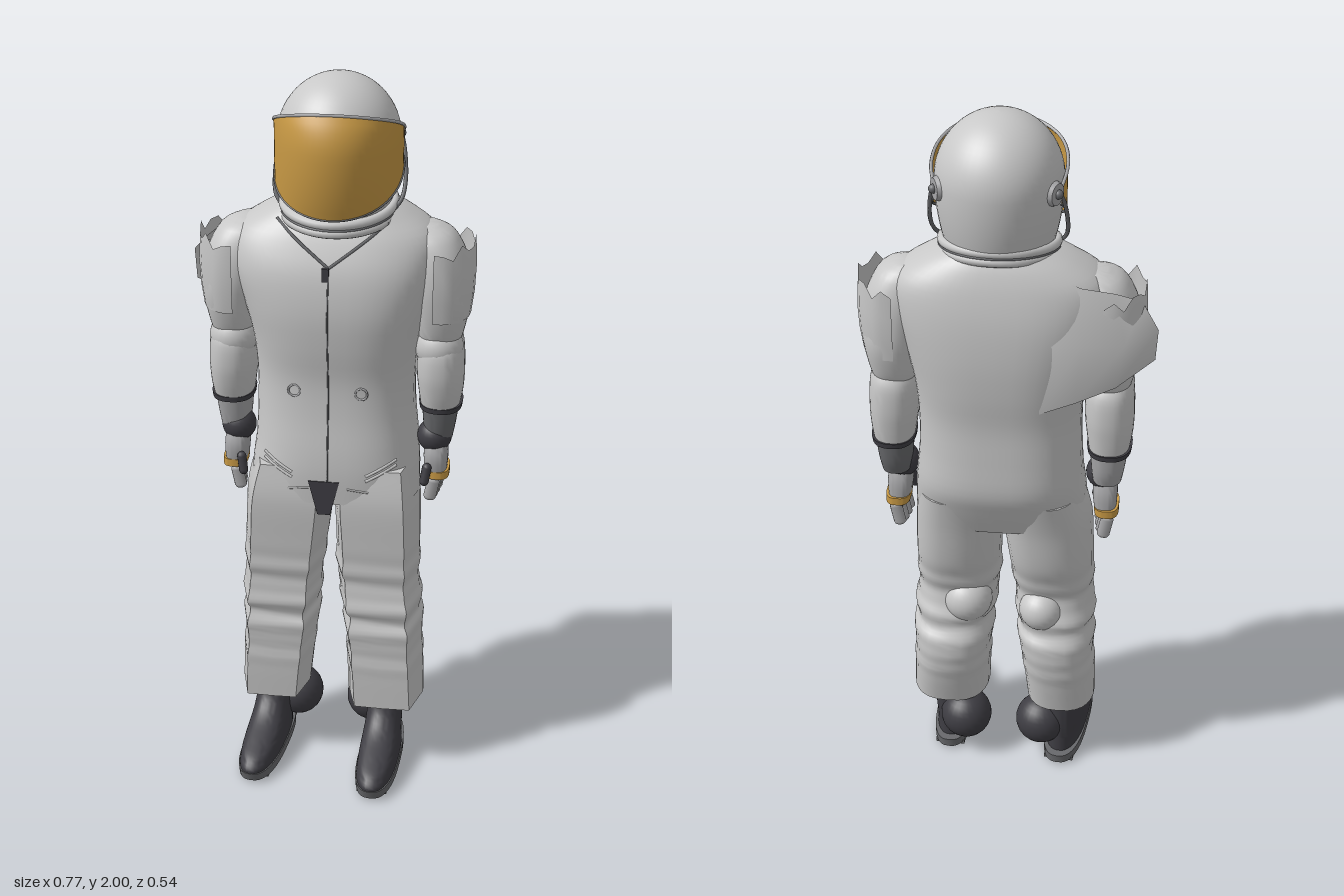
import * as THREE from 'three';
import { toCreasedNormals } from 'three/addons/utils/BufferGeometryUtils.js';

const mat = (name, color, side = THREE.FrontSide) => {
  const m = new THREE.MeshStandardMaterial({ color, side });
  m.name = name;
  return m;
};

// Superellipse outline in x/z, from -1 to 1
const outline = (power, count = 40) => Array.from({ length: count }, (_, i) => {
  const a = (i / count) * Math.PI * 2, c = Math.cos(a), s = Math.sin(a);
  return [Math.sign(c) * Math.abs(c) ** (2 / power), Math.sign(s) * Math.abs(s) ** (2 / power)];
});

// Smooth value through section rows at position t
function sample(rows, t) {
  const i = Math.min(Math.floor(t), rows.length - 2), f = t - i;
  const at = (k) => rows[Math.max(0, Math.min(rows.length - 1, k))];
  return rows[0].map((_, c) => {
    const p = at(i - 1)[c], q = at(i)[c], r = at(i + 1)[c], s = at(i + 2)[c];
    return q + 0.5 * f * (r - p + f * (2 * p - 5 * q + 4 * r - s + f * (3 * (q - r) + s - p)));
  });
}

// Indexed surface from a grid of points, row by row
function sheet(points, columns) {
  const g = new THREE.BufferGeometry().setFromPoints(points), idx = [];
  for (let a = 0; a + columns < points.length; a++) {
    if ((a + 1) % columns) idx.push(a, a + 1, a + columns, a + 1, a + columns + 1, a + columns);
  }
  g.setIndex(idx);
  g.computeVertexNormals();
  return g;
}

// Closed body through sections [y, x0, x1, z0, z1], listed from top to bottom
function loft(rows, ring, { steps = 4, crease = 0.7, ripple = () => 0 } = {}) {
  const pos = [], idx = [], n = ring.length, count = (rows.length - 1) * steps;
  for (let i = 0; i <= count; i++) {
    const [y, x0, x1, z0, z1] = sample(rows, i / steps);
    const g = ripple(y);
    for (const [u, v] of ring) {
      pos.push((x0 + x1) / 2 + u * ((x1 - x0) / 2 + g), y + g * u, (z0 + z1) / 2 + v * ((z1 - z0) / 2 + g));
    }
  }
  for (let i = 0; i < count; i++) for (let j = 0; j < n; j++) {
    const k = (j + 1) % n, a = i * n + j, b = i * n + k;
    idx.push(a, b, a + n, b, b + n, a + n);
  }
  for (const end of [0, 1]) {
    const [y, x0, x1, z0, z1] = rows[end ? rows.length - 1 : 0], c = pos.length / 3, o = end * count * n;
    pos.push((x0 + x1) / 2, y, (z0 + z1) / 2);
    for (let j = 0; j < n; j++) {
      const k = (j + 1) % n;
      if (end) idx.push(c, o + j, o + k); else idx.push(c, o + k, o + j);
    }
  }
  const g = new THREE.BufferGeometry();
  g.setAttribute('position', new THREE.Float32BufferAttribute(pos, 3));
  g.setIndex(idx);
  return toCreasedNormals(g, crease);
}

const TORSO = [
  [1.67, -0.10, 0.14, -0.205, 0.00], [1.635, -0.18, 0.21, -0.225, 0.015], [1.58, -0.255, 0.28, -0.245, 0.048],
  [1.5, -0.265, 0.285, -0.262, 0.082], [1.4, -0.235, 0.262, -0.269, 0.096], [1.3, -0.21, 0.24, -0.265, 0.09],
  [1.2, -0.20, 0.23, -0.255, 0.077], [1.1, -0.20, 0.23, -0.257, 0.08], [1.0, -0.205, 0.24, -0.258, 0.092],
  [0.93, -0.213, 0.247, -0.235, 0.096], [0.85, -0.218, 0.25, -0.2, 0.093]];
const POWER = 2.7;

// Point on the front of the torso, raised slightly
function onChest(x, y, lift = 0.003) {
  let i = 0;
  while (i < TORSO.length - 2 && TORSO[i + 1][0] > y) i++;
  const f = (TORSO[i][0] - y) / (TORSO[i][0] - TORSO[i + 1][0]);
  const [, x0, x1, z0, z1] = sample(TORSO, i + f);
  const u = Math.min(1, Math.abs((x - (x0 + x1) / 2) / ((x1 - x0) / 2)));
  return new THREE.Vector3(x, y, (z0 + z1) / 2 + ((z1 - z0) / 2) * (1 - u ** POWER) ** (1 / POWER) + lift);
}

export function createModel() {
  const suit = mat('suit white', 0xc8c8c8), flapMat = mat('suit cloth', 0xc8c8c8, THREE.DoubleSide);
  const gold = mat('visor gold', 0xc99a45, THREE.DoubleSide), dark = mat('dark rubber', 0x3e3d43);
  const trim = mat('trim grey', 0x68696c), glove = mat('glove grey', 0xa6a6a8);
  const model = new THREE.Group();
  const add = (name, geo, material, parent = model, at = [0, 0, 0]) => {
    const m = new THREE.Mesh(geo, material);
    m.name = name;
    m.position.set(...at);
    parent.add(m);
    return m;
  };
  const tube = (name, pts, r, material, parent = model) => add(name, new THREE.TubeGeometry(
    new THREE.CatmullRomCurve3(pts), pts.length * 5, r, 6), material, parent);
  const ball = (name, r, material, at, parent = model) =>
    add(name, new THREE.SphereGeometry(r, 24, 16), material, parent, at);
  const V = (x, y, z) => new THREE.Vector3(x, y, z);
  const soft = outline(2.4);

  // Torso with zip, collar cords, pockets and connectors
  add('torso', loft(TORSO, outline(POWER, 56)), suit);
  tube('zip', Array.from({ length: 13 }, (_, i) => onChest(0.012, 1.52 - i * 0.05, -0.0005)), 0.0025, trim);
  add('zipPull', new THREE.BoxGeometry(0.018, 0.035, 0.012), dark, model, onChest(0.005, 1.51).toArray());
  for (const s of [-1, 1]) {
    const path = [0, 0.25, 0.5, 0.75, 1].map((t) => onChest(0.012 + s * 0.145 * t, 1.525 + 0.105 * t, 0.001));
    tube('collarCord', path, 0.004, trim);
    for (const d of [0, 0.015]) {
      const flap = [0, 0.5, 1].map((t) => onChest(0.015 + s * (0.1 + 0.08 * t), 0.925 + d + 0.04 * t, 0));
      tube('pocketSeam', flap, 0.004, suit);
    }
    tube('hemSeam', [0, 0.5, 1].map((t) => onChest(0.015 + s * (0.05 + 0.15 * t), 0.9 - 0.025 * t, 0)), 0.003, suit);
    add('connector', new THREE.TorusGeometry(0.016, 0.003, 6, 16), glove, model, onChest(0.01 + s * 0.09, 1.175, 0.001).toArray());
  }
  const crotch = new THREE.Shape([[-0.04, 0.92], [0.045, 0.92], [0.02, 0.82], [-0.015, 0.82]].map((p) => new THREE.Vector2(...p)));
  add('crotchPatch', new THREE.ExtrudeGeometry(crotch, { depth: 0.006, bevelEnabled: false }), dark, model, [0, 0, 0.092]);

  // Loose shoulder cloth running from the back over the right shoulder
  add('shoulderCloth', sheet([
    V(-0.1, 1.63, -0.2), V(-0.2, 1.6, -0.205), V(-0.28, 1.575, -0.175), V(-0.345, 1.53, -0.12),
    V(-0.1, 1.46, -0.255), V(-0.2, 1.46, -0.25), V(-0.31, 1.46, -0.23), V(-0.39, 1.475, -0.165),
    V(-0.1, 1.26, -0.25), V(-0.19, 1.29, -0.235), V(-0.29, 1.33, -0.215), V(-0.385, 1.39, -0.165)], 4), flapMat);

  // Helmet shell, slightly narrower than deep
  const CX = 0.019, CY = 1.83, CZ = -0.075, R = 0.17;
  const radius = (y) => (y > 0 ? Math.sqrt(Math.max(0, R * R - y * y)) : R - 0.9 * y * y);
  const profile = [new THREE.Vector2(0.1, -0.183)];
  for (let i = 0; i <= 8; i++) profile.push(new THREE.Vector2(radius(-0.173 + i * 0.0216), -0.173 + i * 0.0216));
  for (let i = 1; i <= 16; i++) {
    const a = (i / 16) * Math.PI / 2;
    profile.push(new THREE.Vector2(i === 16 ? 0 : R * Math.cos(a), R * Math.sin(a)));
  }
  const helmet = new THREE.Group();
  helmet.name = 'helmet';
  helmet.position.set(CX, CY, CZ);
  model.add(helmet);
  const shell = new THREE.LatheGeometry(profile, 48).scale(0.95, 1, 1);
  add('shell', shell, suit, helmet);

  // Visor wrapped round the front of the shell
  const LIMIT = 1.9, W = 40, H = 14;
  const onVisor = (u, v, lift = 0) => {
    const a = (u * 2 - 1) * LIMIT, k = Math.max(0, (Math.cos(a) - Math.cos(LIMIT)) / (1 - Math.cos(LIMIT)));
    const low = -0.04 - 0.13 * k ** 0.85, high = 0.1 * k ** 0.7, y = low + (high - low) * v;
    const r = radius(y) + lift + 0.024 * k ** 0.6;
    return V(Math.sin(a) * Math.min(r, R) * 0.985, y, Math.cos(a) * r);
  };
  const grid = [];
  for (let i = 0; i <= H; i++) for (let j = 0; j <= W; j++) grid.push(onVisor(j / W, i / H));
  add('visor', sheet(grid, W + 1), gold, helmet);
  const rim = Array.from({ length: 21 }, (_, i) => i / 20);
  tube('visorTopRim', rim.map((u) => onVisor(u, 1, -0.002)), 0.0045, glove, helmet);
  tube('visorBottomRim', rim.map((u) => onVisor(u, 0, -0.002)), 0.0035, trim, helmet);

  // Neck rings, ear hinges and hoses
  for (const [r, t, y, m] of [[0.145, 0.013, -0.166, suit], [0.151, 0.005, -0.178, trim], [0.146, 0.013, -0.188, suit]]) {
    add('neckRing', new THREE.TorusGeometry(r, t, 10, 48), m, helmet, [0, y, 0]).rotation.x = Math.PI / 2 + 0.17;
  }
  for (const s of [-1, 1]) {
    const hinge = add('earHinge', new THREE.CylinderGeometry(0.028, 0.033, 0.014, 16), glove, helmet, [s * 0.145, -0.005, -0.078]);
    hinge.rotation.set(0, s * 0.47, -s * Math.PI / 2);
    ball('earKnob', 0.012, trim, [s * 0.153, -0.005, -0.08], helmet);
    tube('hose', [V(s * 0.152, 0.005, -0.075), V(s * 0.165, -0.04, -0.05), V(s * 0.172, -0.11, -0.02),
      V(s * 0.165, -0.155, 0.01), V(s * 0.143, -0.182, 0.03)], 0.0055, trim, helmet);
  }

  // Arms: left as listed, right mirrored and shifted
  for (const s of [1, -1]) {
    const arm = new THREE.Group();
    arm.name = s > 0 ? 'leftArm' : 'rightArm';
    model.add(arm);
    const shift = s > 0 ? 0 : 0.025;
    const X = (x) => s * x + shift;
    const side = (rows) => rows.map(([y, a, b, c, d]) => (s > 0 ? [y, a, b, c, d] : [y, X(b), X(a), c, d]));
    add('upperArm', loft(side([[1.605, 0.2, 0.28, -0.14, -0.06], [1.58, 0.19, 0.325, -0.17, -0.015],
      [1.52, 0.2, 0.358, -0.19, 0.01], [1.45, 0.21, 0.37, -0.198, 0.018], [1.38, 0.22, 0.37, -0.198, 0.01],
      [1.31, 0.23, 0.357, -0.182, -0.01], [1.27, 0.24, 0.345, -0.165, -0.03]]), soft), suit, arm);
    // Loose outer sleeve with a ragged top edge
    const sleeve = [];
    for (const t of [0, 0.35, 0.7, 1]) for (let j = 0; j <= 12; j++) {
      const a = (j / 12 - 0.5) * 3.4, top = 1.545 + 0.018 * Math.sin(j * 2.3) + 0.02 * Math.cos(a);
      const b = 0.016 * Math.sin(Math.PI * (0.25 + 0.65 * t));
      sleeve.push(V(X(0.29 + (0.078 + b) * Math.cos(a)), top + (1.36 - top) * t, -0.092 + (0.1 + b) * Math.sin(a)));
    }
    add('outerSleeve', sheet(sleeve, 13), flapMat, arm);
    ball('elbow', 0.066, suit, [X(0.292), 1.27, -0.068], arm);
    add('forearm', loft(side([[1.31, 0.26, 0.345, -0.16, -0.04], [1.27, 0.235, 0.358, -0.185, -0.005],
      [1.2, 0.232, 0.362, -0.19, 0], [1.14, 0.238, 0.36, -0.185, -0.01], [1.09, 0.245, 0.352, -0.178, -0.025]]), soft), suit, arm);
    add('cuffBand', loft(side([[1.1, 0.24, 0.36, -0.184, -0.02], [1.085, 0.242, 0.358, -0.182, -0.022]]), soft), dark, arm);
    add('cuff', loft(side([[1.09, 0.248, 0.35, -0.175, -0.03], [1.03, 0.253, 0.342, -0.168, -0.04],
      [0.99, 0.258, 0.335, -0.155, -0.05]]), soft), s > 0 ? trim : glove, arm);
    ball('wrist', 0.048, dark, [X(0.286), 0.995, -0.085], arm);

    // Glove
    add('palm', loft(side([[0.985, 0.262, 0.32, -0.12, -0.05], [0.94, 0.258, 0.325, -0.135, -0.035],
      [0.88, 0.265, 0.322, -0.138, -0.04]]), outline(3)), glove, arm);
    add('knuckleBand', loft(side([[0.902, 0.262, 0.33, -0.144, -0.036], [0.88, 0.264, 0.33, -0.144, -0.036]]), outline(3)), gold, arm);
    for (let i = 0; i < 4; i++) {
      const f = add('finger', new THREE.CapsuleGeometry(0.0125, 0.06 - Math.abs(i - 1.4) * 0.008, 4, 10), glove, arm,
        [X(0.296 - i * 0.004), 0.845, -0.128 + i * 0.026]);
      f.rotation.z = -s * 0.2;
      f.scale.x = 1.4;
      if (i < 3) add('fingerGap', new THREE.BoxGeometry(0.014, 0.05, 0.008), dark, arm, [X(0.292), 0.86, -0.115 + i * 0.026]);
    }
    const thumb = add('thumb', new THREE.CapsuleGeometry(0.013, 0.04, 4, 10), dark, arm, [X(0.268), 0.9, -0.025]);
    thumb.rotation.set(-0.2, 0, -s * 0.15);
  }

  // Trouser legs: creased front panels, round backs and soft folds round the knee
  const panel = [[0.72, 1], [0, 1.02], [-0.72, 1]];
  for (let i = 0; i <= 14; i++) {
    const a = (i / 14) * Math.PI;
    panel.push([-Math.sign(Math.cos(a)) * Math.abs(Math.cos(a)) ** 0.8, 0.1 - 1.1 * Math.sin(a) ** 0.8]);
  }
  const folds = (y) => 0.0042 * Math.exp(-(((y - 0.5) / 0.15) ** 4)) * (Math.sin(y * 62) + 0.6 * Math.sin(y * 101));
  const legs = {
    left: [[0.95, 0.02, 0.24, -0.23, 0.075], [0.85, 0.013, 0.252, -0.207, 0.092], [0.72, 0.02, 0.257, -0.18, 0.09],
      [0.6, 0.025, 0.258, -0.145, 0.085], [0.5, 0.04, 0.265, -0.163, 0.095], [0.4, 0.047, 0.27, -0.188, 0.098],
      [0.3, 0.055, 0.275, -0.168, 0.098], [0.2, 0.06, 0.28, -0.14, 0.096]],
    right: [[0.95, -0.205, 0.012, -0.23, 0.075], [0.85, -0.23, 0.014, -0.207, 0.09], [0.72, -0.237, 0.0, -0.187, 0.085],
      [0.6, -0.24, -0.015, -0.15, 0.078], [0.5, -0.245, -0.025, -0.168, 0.08], [0.4, -0.246, -0.033, -0.187, 0.082],
      [0.3, -0.25, -0.045, -0.17, 0.08], [0.2, -0.252, -0.055, -0.15, 0.075]] };
  for (const [name, rows] of Object.entries(legs)) {
    add(name + 'Leg', loft(rows, panel, { steps: 10, crease: 0.55, ripple: folds }), suit);
  }
  ball('leftKneeBall', 0.07, suit, [0.11, 0.56, -0.107]);
  ball('rightKneeBall', 0.062, suit, [-0.1, 0.55, -0.126]);

  // Boots with ankle balls and treaded soles
  for (const [name, x, z, yaw, ballX] of [['leftBoot', 0.168, 0, -0.04, 0.122], ['rightBoot', -0.165, -0.035, -0.1, -0.1]]) {
    const boot = new THREE.Group();
    boot.name = name;
    boot.position.set(x, 0, z);
    boot.rotation.y = yaw;
    model.add(boot);
    add('upper', loft([[0.23, -0.05, 0.05, -0.1, 0.035], [0.18, -0.05, 0.05, -0.1, 0.045], [0.14, -0.05, 0.05, -0.1, 0.07],
      [0.11, -0.051, 0.051, -0.1, 0.115], [0.085, -0.053, 0.053, -0.1, 0.19], [0.065, -0.055, 0.055, -0.1, 0.245],
      [0.04, -0.057, 0.057, -0.1, 0.27], [0.025, -0.057, 0.057, -0.1, 0.268]], soft), dark, boot);
    add('sole', loft([[0.034, -0.06, 0.06, -0.125, 0.273], [0.007, -0.06, 0.06, -0.122, 0.265]], outline(2.6), { steps: 1 }), trim, boot);
    for (let i = 0; i < 7; i++) {
      add('tread', new THREE.BoxGeometry(0.085, 0.012, 0.026), i % 2 ? dark : trim, boot, [0, 0.006, -0.085 + i * 0.05]);
    }
    ball(name + 'AnkleBall', 0.074, dark, [ballX, 0.12, -0.091]);
  }
  return model;
}
